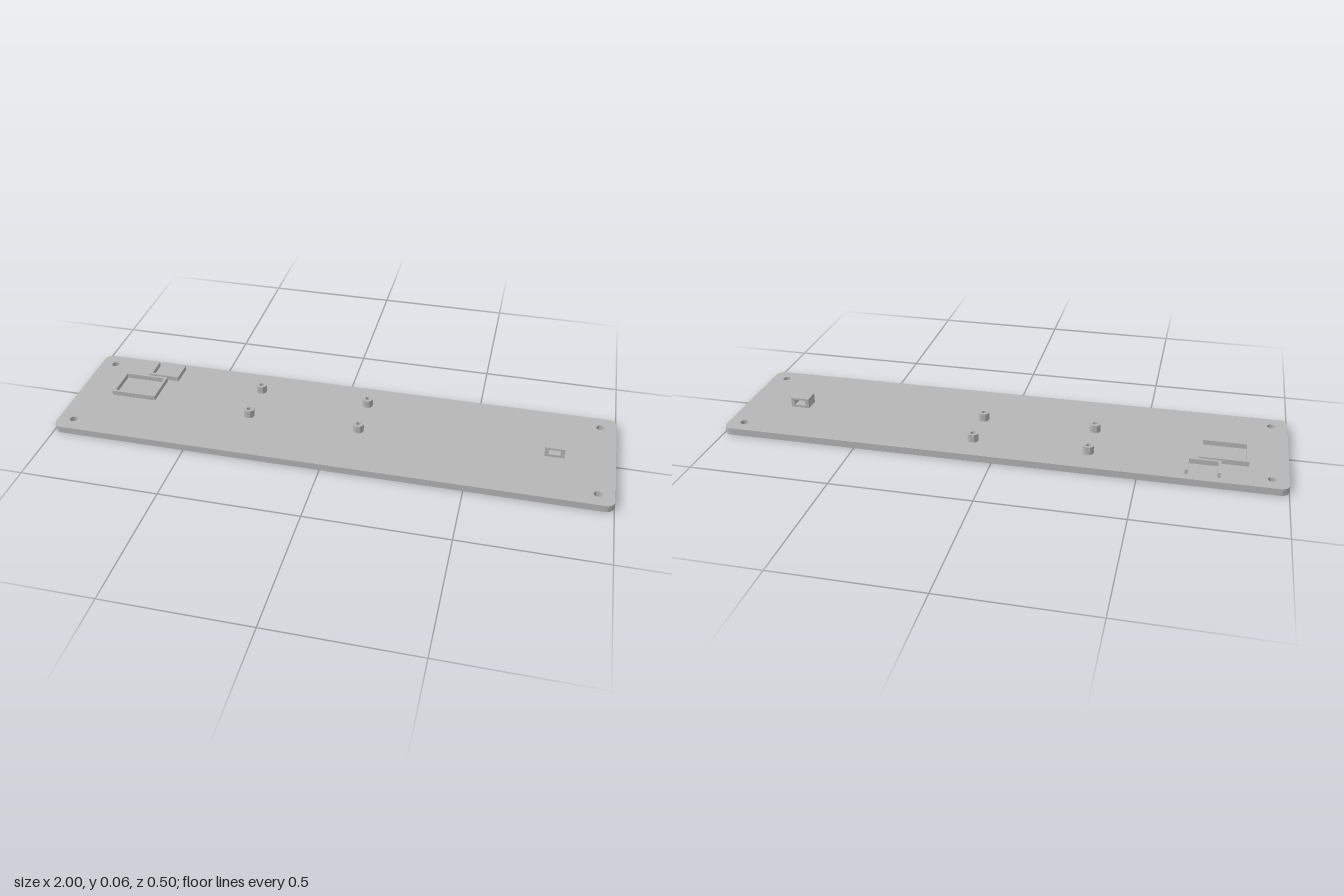
import * as THREE from 'three';
import { toCreasedNormals } from 'three/addons/utils/BufferGeometryUtils.js';

const TOP = 0.025; // plate thickness

// Outline of a rectangle from its minimum and maximum corners
function rect(Type, x0, y0, x1, y1) {
  return new Type([[x0, y0], [x1, y0], [x1, y1], [x0, y1]].map(p => new THREE.Vector2(...p)));
}

function circle(Type, x, y, r) {
  const c = new Type();
  c.absarc(x, y, r, 0, Math.PI * 2, false);
  return c;
}

function extrude(shape, depth) {
  const g = new THREE.ExtrudeGeometry(shape, { depth, bevelEnabled: false, curveSegments: 16 });
  return toCreasedNormals(g, 0.6);
}

// Plan shapes are drawn in (x, -z) and raised along y
function raise(shape, height, base = TOP) {
  return extrude(shape, height).rotateX(-Math.PI / 2).translate(0, base, 0);
}

export function createModel() {
  const model = new THREE.Group();
  const grey = new THREE.MeshStandardMaterial({ color: 0xb6b6b6 });
  grey.name = 'grey plastic';
  const add = (name, geometry) => {
    const mesh = new THREE.Mesh(geometry, grey);
    mesh.name = name;
    model.add(mesh);
    return mesh;
  };

  // Rounded base plate with a screw hole near each corner
  const w = 1, d = 0.25, r = 0.03;
  const plate = new THREE.Shape();
  plate.absarc(w - r, d - r, r, 0, Math.PI / 2);
  plate.absarc(-w + r, d - r, r, Math.PI / 2, Math.PI);
  plate.absarc(-w + r, -d + r, r, Math.PI, Math.PI * 1.5);
  plate.absarc(w - r, -d + r, r, Math.PI * 1.5, Math.PI * 2);
  for (const x of [-0.943, 0.943])
    for (const y of [-0.193, 0.193]) plate.holes.push(circle(THREE.Path, x, y, 0.0145));
  add('basePlate', raise(plate, TOP, 0));

  // Four hollow standoffs
  for (const x of [-0.322, 0.09])
    for (const z of [-0.143, 0.022]) {
      const ring = circle(THREE.Shape, 0, 0, 0.0195);
      ring.holes.push(circle(THREE.Path, 0, 0, 0.009));
      add('standoff', raise(ring, 0.029)).position.set(x, 0, z);
    }

  // Closed rectangular locating frame
  const t = 0.01;
  const frame = rect(THREE.Shape, -0.867, -0.011, -0.697, 0.123);
  frame.holes.push(rect(THREE.Path, -0.867 + t, -0.011 + t, -0.697 - t, 0.123 - t));
  add('locatingFrame', raise(frame, 0.018));

  // U-shaped locating wall, open toward the back
  const [l, rt, f, b] = [-0.775, -0.657, 0.133, 0.22];
  const wall = new THREE.Shape([
    [l, f], [rt, f], [rt, b], [rt - t, b], [rt - t, f + t], [l + t, f + t], [l + t, b], [l, b],
  ].map(p => new THREE.Vector2(...p)));
  add('openLocatingWall', raise(wall, 0.018));

  // Cable guide: a block with a window passing front to back
  const guide = rect(THREE.Shape, 0.755, TOP, 0.824, 0.061);
  guide.holes.push(rect(THREE.Path, 0.769, 0.034, 0.81, 0.054));
  add('cableGuide', extrude(guide, 0.057).translate(0, 0, -0.035));

  return model;
}
